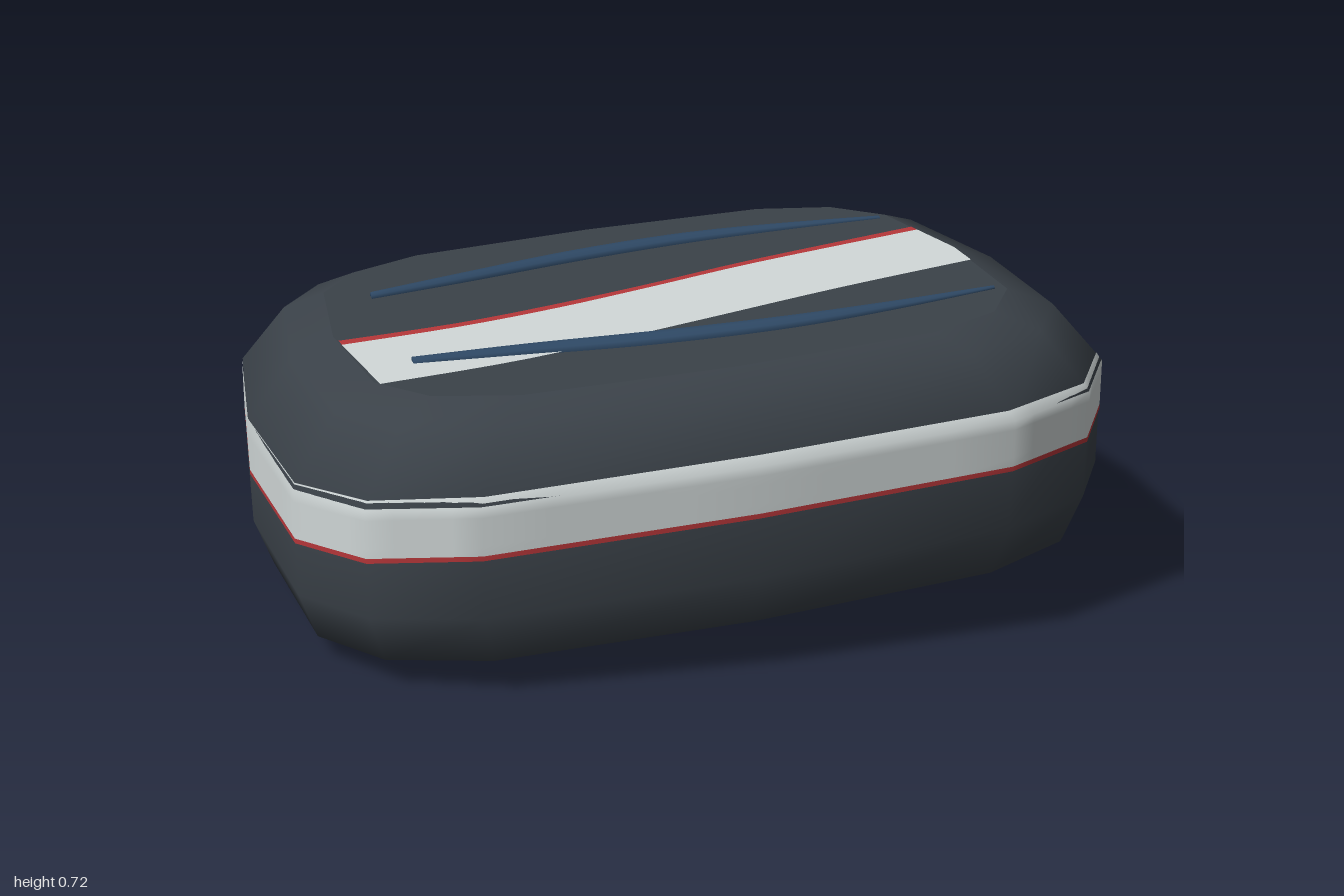
import * as THREE from 'three';

const material = (name, color) => {
  const m = new THREE.MeshStandardMaterial({ color });
  m.name = name;
  return m;
};

// The whole body leans up towards +x
const lean = new THREE.Matrix4().makeShear(0.073, 0, 0, 0, 0, 0);

// Quarter outline [x, z], mirrored into a 16-sided rounded square
const quarter = [[0.998, 0], [0.956, 0.515], [0.83, 0.715], [0.6, 0.825], [0, 0.86]];
const half = [...quarter, ...quarter.slice(0, 4).reverse().map(([x, z]) => [-x, z])];
const outline = [...half, ...half.slice(1, 8).reverse().map(([x, z]) => [x, -z])];

// Side profile [height, scale of the outline]
const profile = [[0.06, 0.79], [0.12, 0.957], [0.235, 1], [0.49, 1], [0.625, 0.89], [0.663, 0.79]];
const TOP = 0.663, BOTTOM = 0.06;

function scaleAt(y) {
  for (let i = 1; i < profile.length; i++) {
    const [y0, s0] = profile[i - 1], [y1, s1] = profile[i];
    if (y <= y1) return s0 + (s1 - s0) * (y - y0) / (y1 - y0);
  }
  return 0.79;
}

function outlineAt(k) {
  const i = Math.floor(k), f = k - i;
  const a = outline[i % 16], b = outline[(i + 1) % 16];
  return [a[0] + (b[0] - a[0]) * f, a[1] + (b[1] - a[1]) * f];
}

// Skin a grid of points; closed joins the last column to the first
function skin(rows, cols, closed, point) {
  const pos = [], index = [];
  for (let i = 0; i < rows; i++) for (let k = 0; k < cols; k++) pos.push(...point(i, k));
  const spans = closed ? cols : cols - 1;
  for (let i = 0; i < rows - 1; i++) for (let k = 0; k < spans; k++) {
    const n = (k + 1) % cols;
    const a = i * cols + k, b = i * cols + n, c = a + cols, d = b + cols;
    index.push(a, c, b, b, c, d);
  }
  const g = new THREE.BufferGeometry();
  g.setAttribute('position', new THREE.Float32BufferAttribute(pos, 3));
  g.setIndex(index);
  g.applyMatrix4(lean);
  g.computeVertexNormals();
  return g;
}

// Flat horizontal face from [x, z] points, facing up or down
function flat(points, y, up) {
  const s = new THREE.Shape(points.map(([x, z]) => new THREE.Vector2(x, up ? -z : z)));
  const g = new THREE.ShapeGeometry(s);
  g.rotateX(up ? -Math.PI / 2 : Math.PI / 2);
  g.translate(0, y, 0);
  g.applyMatrix4(lean);
  g.computeVertexNormals();
  return g;
}

// Lower edge of the side band, every second corner of the outline
const bandEdge = [0.378, 0.379, 0.385, 0.373, 0.364, 0.36, 0.338, 0.285, 0.267];
function bandLow(k) {
  const i = Math.min(Math.floor(k / 2), 7);
  return THREE.MathUtils.lerp(bandEdge[i], bandEdge[i + 1], k / 2 - i);
}

function band(from, to, rows) {
  return skin(rows, 65, false, (i, c) => {
    const k = c / 4, [x, z] = outlineAt(k);
    const y = bandLow(k) + from + (to - from) * i / (rows - 1);
    const s = scaleAt(y) + 0.002;
    return [x * s, y, z * s];
  });
}

// Tapered raised rib lying on the top face
function rib(side) {
  const path = new THREE.CatmullRomCurve3([
    [-0.65, -0.3], [-0.4, -0.345], [-0.1, -0.403], [0.2, -0.43], [0.45, -0.418], [0.73, -0.385],
  ].map(([x, z]) => new THREE.Vector3(x, 0, z)));
  const n = 28, sides = 10, centres = path.getPoints(n);
  const ring = (i, k) => {
    const t = i / n, swell = Math.sin(Math.PI * t);
    const w = THREE.MathUtils.lerp(0.016, 0.008, t) + 0.022 * swell;
    const h = THREE.MathUtils.lerp(0.013, 0.006, t) + 0.011 * swell;
    const a = side * k / sides * Math.PI * 2, p = centres[i];
    return [p.x, TOP + h * Math.sin(a), side * (p.z + side * w * Math.cos(a))];
  };
  // Extra end rings close the tips
  return skin(n + 3, sides, true, (i, k) => {
    const j = THREE.MathUtils.clamp(i - 1, 0, n);
    if (i > 0 && i < n + 2) return ring(j, k);
    return [centres[j].x, TOP, side * centres[j].z];
  });
}

export function createModel() {
  const group = new THREE.Group();
  const dark = material('charcoal', 0x3a4148);
  const pale = material('pale grey', 0xcfd6d6);
  const red = material('red', 0xb53639);
  const blue = material('steel blue', 0x2e4864);
  blue.side = THREE.DoubleSide;
  const add = (name, geometry, mat) => {
    const mesh = new THREE.Mesh(geometry, mat);
    mesh.name = name;
    group.add(mesh);
  };

  // Rounded body with flat top and bottom
  add('bodySide', skin(profile.length, 16, true, (i, k) => {
    const [y, s] = profile[i];
    return [outline[k][0] * s, y, outline[k][1] * s];
  }), dark);
  const cap = outline.map(([x, z]) => [x * 0.79, z * 0.79]);
  add('bodyTop', flat(cap, TOP, true), dark);
  add('bodyBottom', flat(cap, BOTTOM, false), dark);

  // Band around the sides with a thin red edge
  add('sideBand', band(0, 0.128, 7), pale);
  add('sideBandEdge', band(-0.011, 0, 2), red);

  // Sweeping stripe, the same on top and bottom
  const curve = (pts) => new THREE.SplineCurve(pts.map((p) => new THREE.Vector2(...p)))
    .getPoints(20).map((p) => [p.x, p.y]);
  const redEdge = curve([[-0.782, 0.048], [-0.5, 0.043], [-0.25, 0.002], [0, -0.058], [0.3, -0.145], [0.768, -0.245]]);
  const seam = curve([[-0.78, 0.085], [-0.5, 0.075], [-0.25, 0.035], [0, -0.03], [0.3, -0.115], [0.77, -0.21]]);
  const lowEdge = curve([[-0.745, 0.43], [-0.4, 0.405], [0, 0.31], [0.4, 0.208], [0.778, 0.132]]);
  const stripe = [...seam, [0.787, 0], ...lowEdge.reverse()];
  const redLine = [...redEdge, ...seam.slice().reverse()];
  for (const up of [true, false]) {
    const y = up ? TOP + 0.002 : BOTTOM - 0.002, where = up ? 'top' : 'bottom';
    add(where + 'Stripe', flat(stripe, y, up), pale);
    add(where + 'StripeEdge', flat(redLine, y, up), red);
  }

  // Pair of mirrored ribs
  add('backRib', rib(1), blue);
  add('frontRib', rib(-1), blue);
  return group;
}
